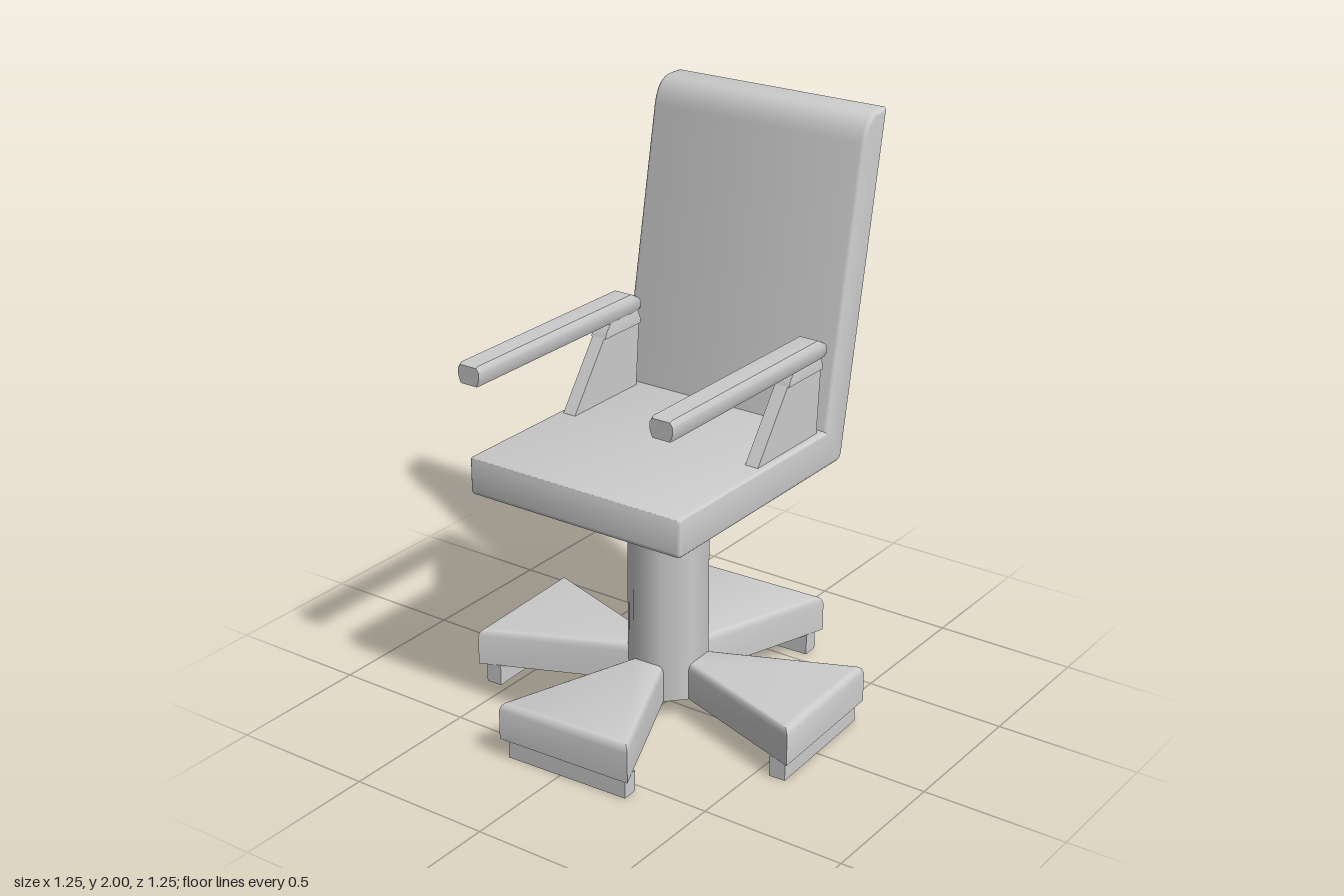
import * as THREE from 'three';
import { toCreasedNormals } from 'three/addons/utils/BufferGeometryUtils.js';

const grey = new THREE.MeshStandardMaterial({ color: 0xcccccc });

function part(name, geometry, parent, material = grey) {
  const mesh = new THREE.Mesh(geometry, material);
  mesh.name = name;
  parent.add(mesh);
  return mesh;
}

// Closed solid through rings of [x, y, z] points, counter-clockwise seen from the last ring
function loft(rings, crease = 0.7) {
  const out = [];
  const n = rings[0].length;
  const tri = (a, b, c) => out.push(...a, ...b, ...c);
  for (let k = 0; k < rings.length - 1; k++) {
    for (let i = 0; i < n; i++) {
      const j = (i + 1) % n;
      tri(rings[k][i], rings[k][j], rings[k + 1][j]);
      tri(rings[k][i], rings[k + 1][j], rings[k + 1][i]);
    }
  }
  const first = rings[0], last = rings[rings.length - 1];
  for (let i = 1; i < n - 1; i++) {
    tri(first[0], first[i + 1], first[i]);
    tri(last[0], last[i], last[i + 1]);
  }
  const g = new THREE.BufferGeometry();
  g.setAttribute('position', new THREE.Float32BufferAttribute(out, 3));
  return toCreasedNormals(g, crease);
}

// Side profile in (z, y), extruded across x and centred
function extrudeAcross(shape, width, bevel) {
  const g = new THREE.ExtrudeGeometry(shape, {
    depth: width - 2 * bevel, bevelEnabled: bevel > 0, bevelThickness: bevel,
    bevelSize: bevel, bevelOffset: -bevel, bevelSegments: 3, curveSegments: 8,
  });
  g.translate(0, 0, -(width - 2 * bevel) / 2);
  g.rotateY(-Math.PI / 2);
  return g;
}

// Drops the flat bottom faces so the shell is open below
function openBottom(geometry, level) {
  const p = geometry.attributes.position;
  const kept = [];
  for (let i = 0; i < p.count; i += 3) {
    if ([0, 1, 2].every((k) => p.getY(i + k) < level)) continue;
    for (let k = 0; k < 3; k++) kept.push(p.getX(i + k), p.getY(i + k), p.getZ(i + k));
  }
  const g = new THREE.BufferGeometry();
  g.setAttribute('position', new THREE.Float32BufferAttribute(kept, 3));
  return toCreasedNormals(g, 0.7);
}

function addSeat(model) {
  const s = new THREE.Shape();
  s.moveTo(0.5, 0.855);
  s.quadraticCurveTo(0.512, 0.855, 0.512, 0.87);
  s.lineTo(0.512, 0.972);
  s.quadraticCurveTo(0.512, 0.985, 0.5, 0.985);
  s.lineTo(-0.31, 0.985);
  s.lineTo(-0.487, 1.91);
  s.bezierCurveTo(-0.5, 1.97, -0.53, 2, -0.575, 2);
  s.lineTo(-0.625, 2);
  s.lineTo(-0.412, 0.88);
  s.quadraticCurveTo(-0.405, 0.855, -0.385, 0.855);
  s.closePath();
  part('seatAndBackrest', openBottom(extrudeAcross(s, 0.82, 0.014), 0.858), model);

  // Inner lining under the seat and inside the backrest
  const under = new THREE.PlaneGeometry(0.8, 0.81).rotateX(Math.PI / 2);
  part('seatUnderside', under, model).position.set(0, 0.98, 0.095);
  const inner = new THREE.PlaneGeometry(0.8, 0.93).rotateY(Math.PI).rotateX(-0.189);
  part('backrestLining', inner, model).position.set(0, 1.44, -0.402);
}

function addArm(model, side) {
  const arm = new THREE.Group();
  arm.name = side > 0 ? 'leftArmrest' : 'rightArmrest';
  arm.position.x = side * 0.368;
  model.add(arm);

  // Pad: rounded cross-section, falling away at the rear end
  const section = [[-0.034, 1.252], [0.034, 1.252], [0.044, 1.275], [0.044, 1.302],
    [0.034, 1.32], [-0.034, 1.32], [-0.044, 1.302], [-0.044, 1.275]];
  const ring = (z, top, k) => section.map(([x, y]) => [x * k, Math.min(y, top), z]);
  part('armPad', loft([ring(-0.305, 1.265, 0.85), ring(-0.3, 1.288, 0.93), ring(-0.285, 1.306, 0.98),
    ring(-0.255, 1.32, 1), ring(0.542, 1.32, 1), ring(0.55, 1.314, 0.93)]), arm);

  // Support plate and the neck joining it to the pad
  const s = new THREE.Shape();
  s.moveTo(0.06, 0.98);
  s.lineTo(-0.11, 1.21);
  s.lineTo(-0.303, 1.21);
  s.lineTo(-0.285, 0.98);
  s.closePath();
  part('armSupport', extrudeAcross(s, 0.048, 0), arm).position.x = -side * 0.006;
  const neck = (y, w, z0, z1) => [[-w, y, z1], [w, y, z1], [w, y, z0], [-w, y, z0]];
  part('armNeck', loft([neck(1.205, 0.029, -0.304, -0.107), neck(1.225, 0.029, -0.304, -0.115),
    neck(1.256, 0.024, -0.295, -0.15)]), arm).position.x = -side * 0.006;
}

function addBase(model) {
  const base = new THREE.Group();
  base.name = 'base';
  base.rotation.y = 0.04;
  model.add(base);

  // Eight-sided column
  const column = new THREE.CylinderGeometry(0.138, 0.138, 0.9, 8).rotateY(Math.PI / 8);
  part('column', column, base).position.y = 0.52;

  // Wedge legs with softened top edges, each on a foot bar
  const wedge = (y, inset) => {
    const r1 = 0.614 - inset, h0 = 0.06 - inset * 0.6, h1 = 0.25 - inset;
    return [[0.12, y, h0], [r1, y, h1], [r1, y, -h1], [0.12, y, -h0]];
  };
  const legGeometry = loft([wedge(0.072, 0), wedge(0.178, 0), wedge(0.193, 0.005),
    wedge(0.202, 0.014), wedge(0.205, 0.026)]);
  const footGeometry = new THREE.BoxGeometry(0.058, 0.074, 0.456);
  for (let i = 0; i < 4; i++) {
    const leg = new THREE.Group();
    leg.name = 'leg' + (i + 1);
    leg.rotation.y = i * Math.PI / 2;
    base.add(leg);
    part('legWedge', legGeometry, leg);
    part('footBar', footGeometry, leg).position.set(0.567, 0.037, 0);
  }
}

export function createModel() {
  const model = new THREE.Group();
  model.name = 'swivelChair';
  addSeat(model);
  for (const side of [1, -1]) addArm(model, side);
  addBase(model);
  return model;
}
